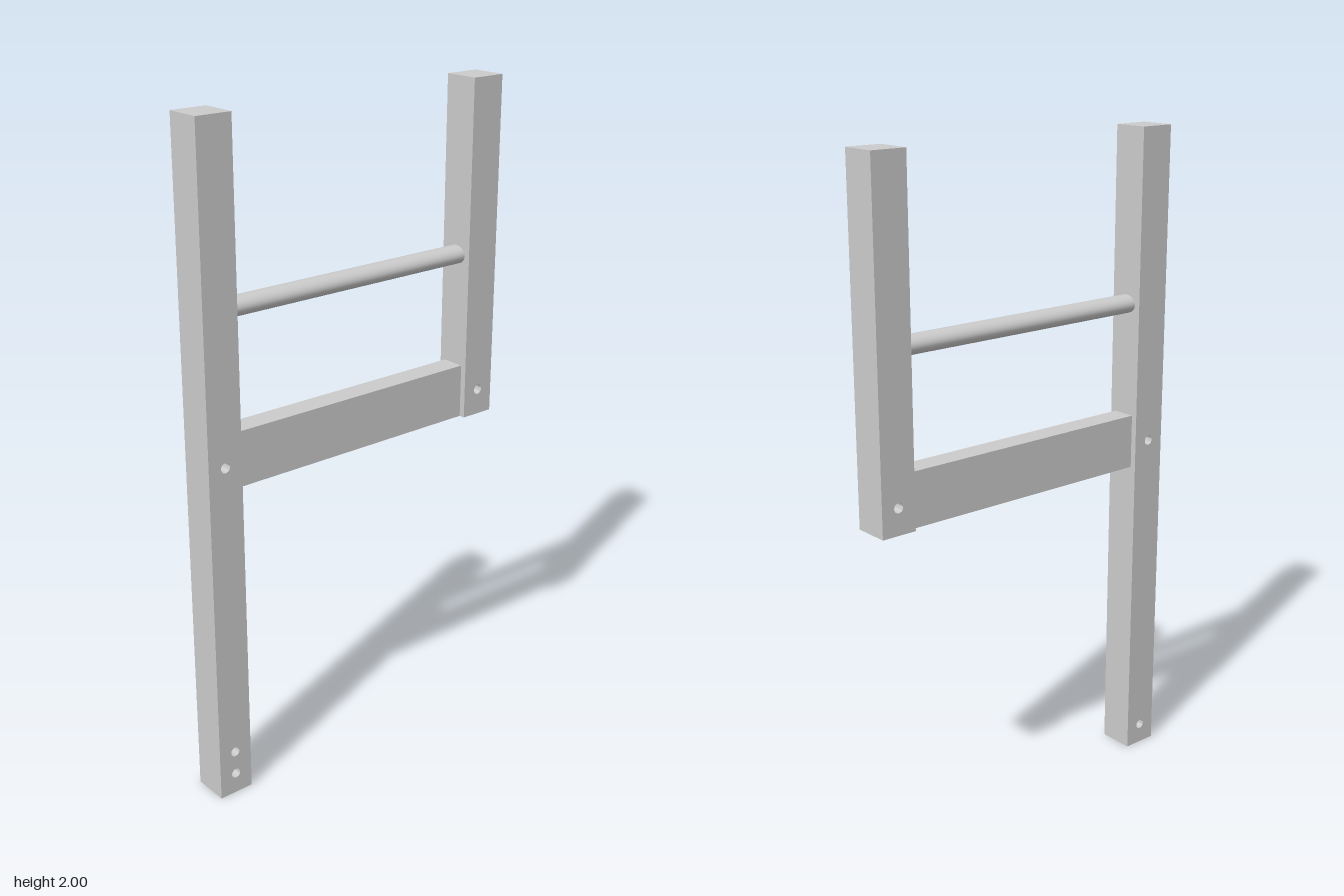
import * as THREE from 'three';
import { toCreasedNormals } from 'three/addons/utils/BufferGeometryUtils.js';

const POST = 0.11;        // square post section
const POST_X = 0.475;     // post centre line
const HOLE_R = 0.015;
const SPAN = 0.84;        // clear distance between the posts
const RAIL_DEPTH = 0.073;

export function createModel() {
  const model = new THREE.Group();
  const material = new THREE.MeshStandardMaterial({ color: 0xcccccc });

  const add = (name, geometry, x, y, z) => {
    const mesh = new THREE.Mesh(geometry, material);
    mesh.name = name;
    mesh.position.set(x, y, z);
    model.add(mesh);
    return mesh;
  };

  const extrude = (shape, depth) => toCreasedNormals(
    new THREE.ExtrudeGeometry(shape, { depth, bevelEnabled: false, curveSegments: 12 }), 0.7);

  // Square post drilled front to back at the given heights
  const addPost = (name, x, bottom, holeHeights) => {
    const h = POST / 2;
    const shape = new THREE.Shape([
      new THREE.Vector2(-h, bottom), new THREE.Vector2(h, bottom),
      new THREE.Vector2(h, 2), new THREE.Vector2(-h, 2),
    ]);
    for (const y of holeHeights) {
      shape.holes.push(new THREE.Path().absarc(0, y, HOLE_R, 0, Math.PI * 2, true));
    }
    add(name, extrude(shape, POST), x, 0, -h);
  };
  addPost('longPost', -POST_X, 0, [0.065, 0.14, 1.05]);
  addPost('shortPost', POST_X, 0.97, [1.05]);

  // Floor of the blind upper foot hole, closing it at the back
  const plug = new THREE.Shape().absarc(0, 0, HOLE_R, 0, Math.PI * 2, false);
  add('blindHoleFloor', extrude(plug, POST / 2), -POST_X, 0.14, -POST / 2);

  // Flat rail between the posts
  add('rail', new THREE.BoxGeometry(SPAN, 0.165, RAIL_DEPTH), 0, 1.0525, 0);

  // Oval rung, deeper than it is tall
  const rung = new THREE.CylinderGeometry(0.5, 0.5, SPAN, 48);
  rung.rotateZ(Math.PI / 2);
  rung.scale(1, 0.055, RAIL_DEPTH);
  add('rung', rung, 0, 1.478, 0);

  return model;
}
